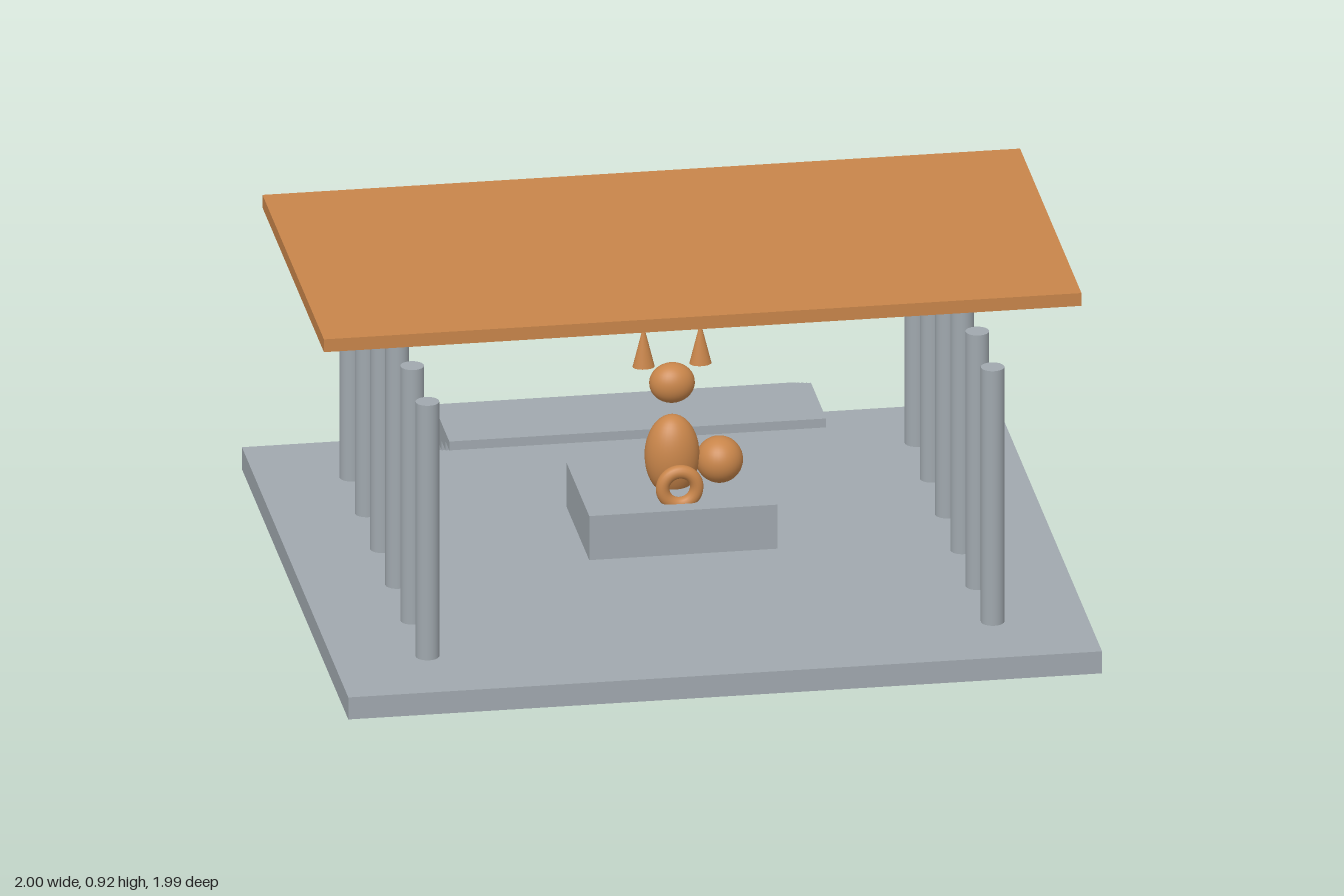
import * as THREE from 'three';

export function createModel() {
  const model = new THREE.Group();
  const stone = new THREE.MeshStandardMaterial({ color: 0xa0a8ae });
  stone.name = 'grey stone';
  const clay = new THREE.MeshStandardMaterial({ color: 0xc8854a });
  clay.name = 'orange clay';

  const centreZ = 0.125;

  function add(name, geometry, material, x, y, z, parent = model) {
    const mesh = new THREE.Mesh(geometry, material);
    mesh.name = name;
    mesh.position.set(x, y, z);
    parent.add(mesh);
    return mesh;
  }
  const box = (w, h, d) => new THREE.BoxGeometry(w, h, d);
  const ellipsoid = (rx, ry, rz) => new THREE.SphereGeometry(1, 32, 24).scale(rx, ry, rz);

  // Floor slab and floating roof
  add('floor', box(1.99, 0.062, 1.742), stone, 0, 0.031, centreZ);
  add('roof', box(2, 0.036, 1.006), clay, 0, 0.904, centreZ);

  // Two rows of six columns
  const columnGeometry = new THREE.CylinderGeometry(0.031, 0.031, 0.717, 24);
  for (const side of [-1, 1]) {
    for (let i = 0; i < 6; i++) {
      add('column', columnGeometry, stone, side * 0.746, 0.4205, 0.747 - i * 0.249);
    }
  }

  // Overlapping steps rising toward the floor from the back
  const stepGeometry = box(0.995, 0.025, 0.249);
  for (let i = 0; i < 6; i++) {
    add('step', stepGeometry, stone, 0, 0.0335 + i * 0.025, -0.871 + i * 0.0622);
  }

  // Pedestal
  add('pedestal', box(0.497, 0.124, 0.373), stone, 0, 0.185, centreZ);

  // Statue of separate rounded parts
  const statue = new THREE.Group();
  statue.name = 'statue';
  statue.position.z = centreZ;
  model.add(statue);
  add('body', ellipsoid(0.072, 0.112, 0.062), clay, 0, 0.329, 0, statue);
  add('head', ellipsoid(0.06, 0.054, 0.048), clay, 0, 0.532, 0, statue);
  add('ball', ellipsoid(0.062, 0.062, 0.062), clay, 0.125, 0.308, 0, statue);
  add('ring', new THREE.TorusGeometry(0.045, 0.018, 16, 40), clay, 0, 0.286, 0.125, statue);
  const earGeometry = new THREE.ConeGeometry(1, 0.117, 24).scale(0.029, 1, 0.023);
  for (const side of [-1, 1]) {
    add('ear', earGeometry, clay, side * 0.075, 0.6405, 0, statue);
  }

  return model;
}
